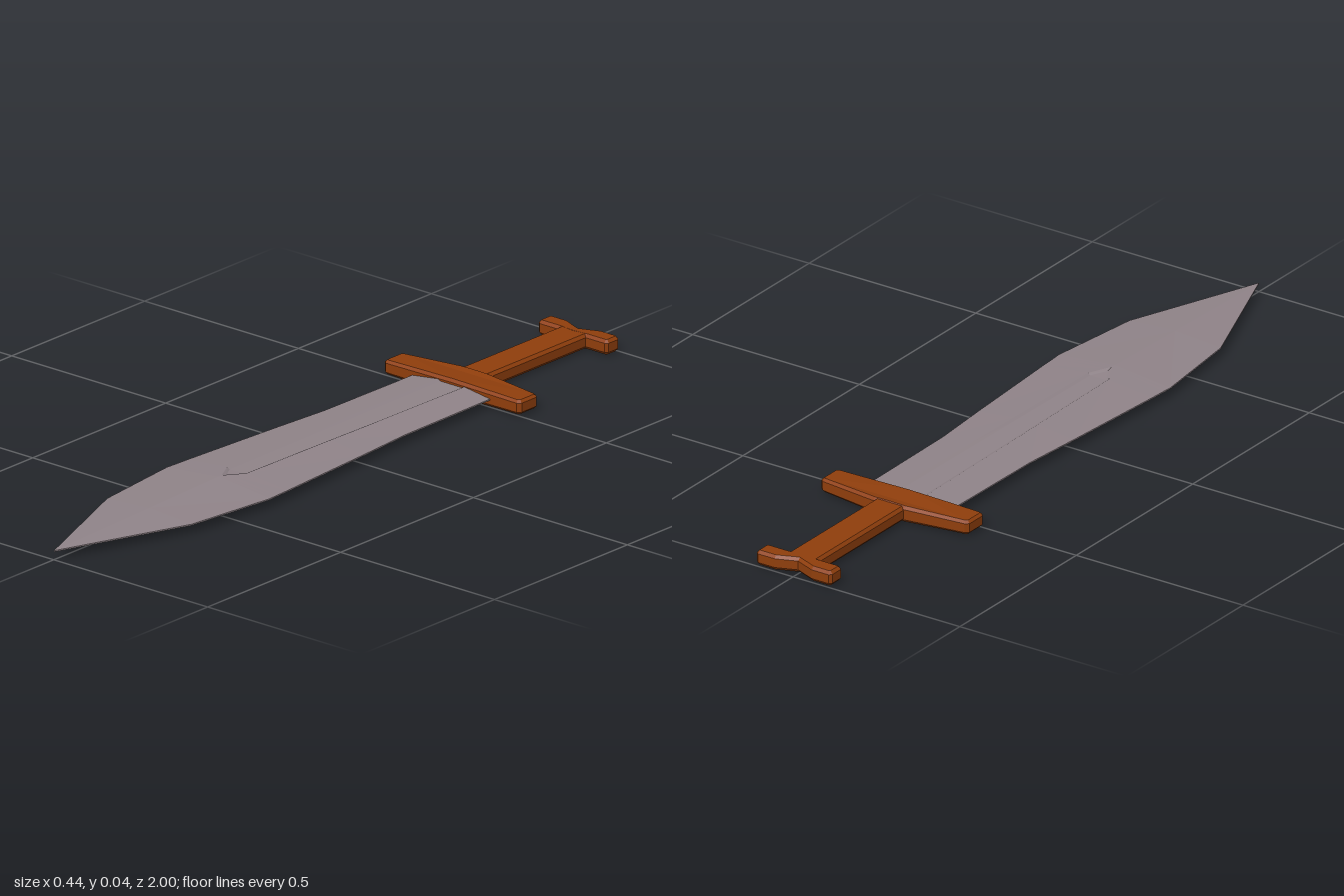
import * as THREE from 'three';

const MID = 0.0222; // height of the sword's flat middle plane

const steel = new THREE.MeshStandardMaterial({ color: 0x8f8388, flatShading: true });
steel.name = 'steel';
const wood = new THREE.MeshStandardMaterial({ color: 0x8f3e0c, flatShading: true });
wood.name = 'wood';

// Bevelled plate from the right half of an outline of [x, z] points, mirrored in x
function plate(name, half, thick, taper = 0) {
  const left = half.filter(p => p[0] > 0).map(([x, z]) => [-x, z]).reverse();
  const shape = new THREE.Shape([...half, ...left].map(p => new THREE.Vector2(...p)));
  const bevel = 0.008, size = 0.007;
  const geo = new THREE.ExtrudeGeometry(shape, {
    depth: 2 * (thick - bevel), bevelThickness: bevel, bevelSize: size,
    bevelOffset: -size, bevelSegments: 1,
  });
  geo.translate(0, 0, bevel - thick).rotateX(Math.PI / 2);
  const p = geo.attributes.position;
  for (let i = 0; i < p.count; i++) p.setY(i, p.getY(i) * (1 - taper * Math.abs(p.getX(i))));
  geo.computeVertexNormals();
  const mesh = new THREE.Mesh(geo, wood);
  mesh.name = name;
  mesh.position.y = MID;
  return mesh;
}

// Blade: stations of [z, half width, ridge height, groove half width, groove floor half width]
function blade() {
  const edge = 0.0018;
  const stations = [
    [-0.52, 0.126, 0.0185, 0.043, 0.034],
    [-0.17, 0.13, 0.0185, 0.039, 0.030],
    [0.0, 0.143, 0.0185, 0.036, 0.028],
    [0.31, 0.163, 0.0185, 0.032, 0.024],
    [0.352, 0.165, 0.0185, 0.009, 0],
    [0.367, 0.166, 0.0185, 0, 0],
    [0.38, 0.167, 0.0185, 0, 0],
    [0.64, 0.137, 0.011, 0, 0],
    [1.0, 0, 0.0018, 0, 0],
  ];
  const rows = stations.map(([z, w, ridge, g, f]) => {
    const rim = w > 0 ? edge + (ridge - edge) * (1 - g / w) : edge;
    const floor = g > 0 ? rim - 0.004 : rim;
    return [[w, 0, z], [w, edge, z], [g, rim, z], [f, floor, z], [0, floor, z]];
  });
  const verts = [];
  // Each triangle is repeated on all four quarters of the blade
  const tri = (a, b, c) => {
    for (const sx of [1, -1]) for (const sy of [1, -1]) {
      const t = sx * sy > 0 ? [a, b, c] : [a, c, b];
      for (const [x, y, z] of t) verts.push(x * sx, y * sy, z);
    }
  };
  for (let i = 0; i < rows.length - 1; i++) {
    for (let j = 0; j < 4; j++) {
      const a = rows[i][j], b = rows[i][j + 1], c = rows[i + 1][j + 1], d = rows[i + 1][j];
      tri(a, b, c);
      tri(a, c, d);
    }
  }
  const geo = new THREE.BufferGeometry();
  geo.setAttribute('position', new THREE.Float32BufferAttribute(verts, 3));
  geo.computeVertexNormals();
  const mesh = new THREE.Mesh(geo, steel);
  mesh.name = 'blade';
  mesh.position.y = MID;
  return mesh;
}

export function createModel() {
  const sword = new THREE.Group();
  sword.name = 'sword';
  sword.add(
    blade(),
    // Crossguard, thickest in the middle
    plate('guard', [[0, -0.59], [0.045, -0.59], [0.213, -0.568], [0.222, -0.56],
      [0.222, -0.504], [0.213, -0.495], [0, -0.495]], 0.0222, 0.75),
    // Straight grip
    plate('handle', [[0.044, -0.97], [0.044, -0.56]], 0.0195),
    // Forked end of the grip
    plate('pommel', [[0, -0.978], [0.055, -1.0], [0.106, -1.0], [0.113, -0.993],
      [0.113, -0.957], [0.106, -0.95], [0.044, -0.95], [0, -0.945]], 0.0198),
  );
  return sword;
}
